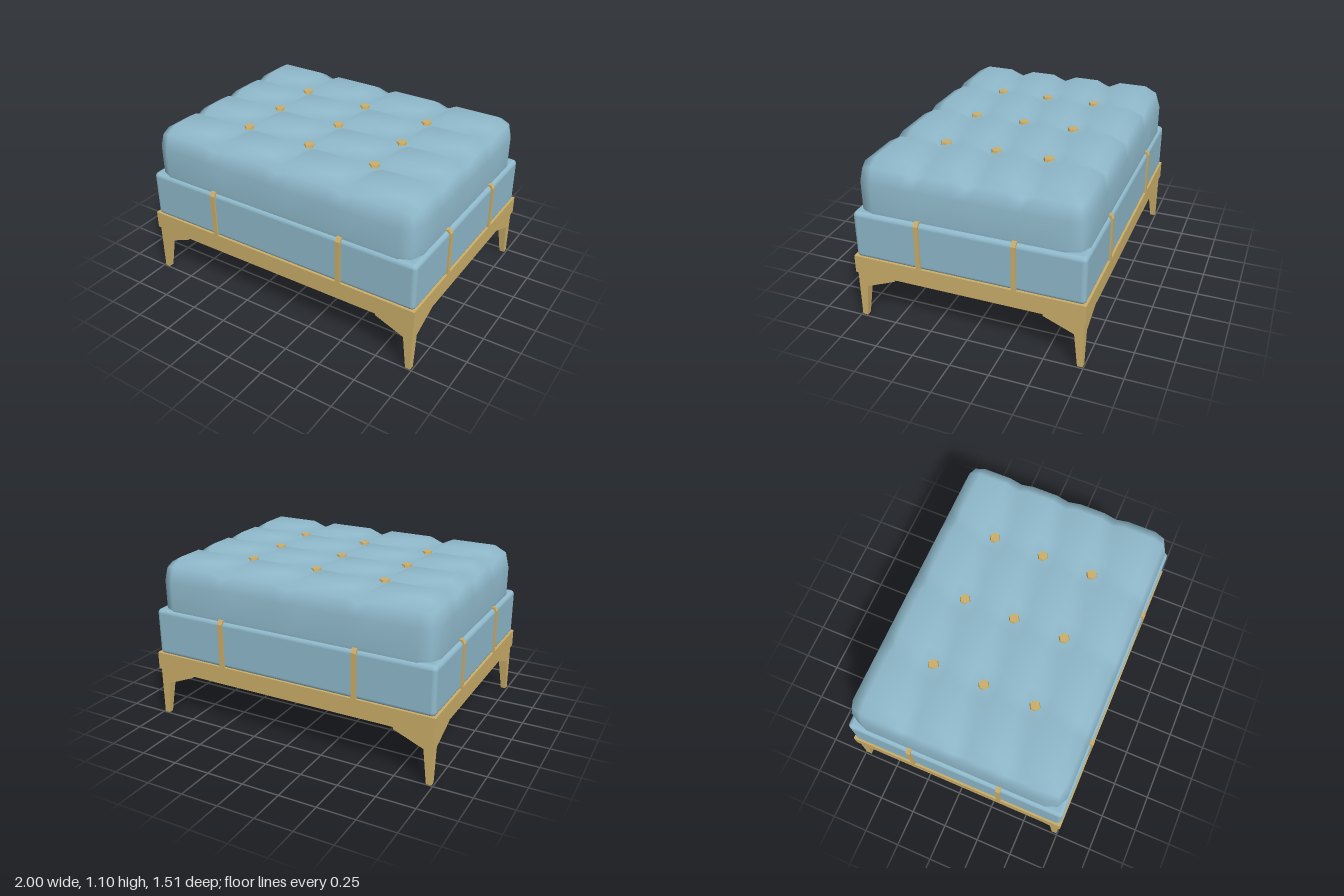
import * as THREE from 'three';
import { mergeVertices } from 'three/addons/utils/BufferGeometryUtils.js';
import { RoundedBoxGeometry } from 'three/addons/geometries/RoundedBoxGeometry.js';

const fabric = new THREE.MeshStandardMaterial({ color: 0x8fb9cb });
fabric.name = 'blue fabric';
const brass = new THREE.MeshStandardMaterial({ color: 0xcbae69 });
brass.name = 'brushed brass';

const TUFT_X = [-0.475, 0, 0.475];
const TUFT_Z = [-0.34, 0, 0.34];

function add(parent, name, geometry, material, x = 0, y = 0, z = 0) {
  const mesh = new THREE.Mesh(geometry, material);
  mesh.name = name;
  mesh.position.set(x, y, z);
  parent.add(mesh);
  return mesh;
}

function polygon(points) {
  return new THREE.Shape(points.map(([x, y]) => new THREE.Vector2(x, y)));
}

// Grid lines across the cushion: edges, start of the rounding, and each groove
function gridLines(half, core, tufts) {
  const grooves = tufts.flatMap((t) => [t - 0.085, t, t + 0.085]);
  return [-half, -core, ...grooves, core, half];
}

// Rounded block whose top is pressed in along the rows of buttons
function tuftedCushion() {
  const half = { x: 0.965, z: 0.728 }, core = { x: 0.86, z: 0.615 };
  const yCore = 0.955, top = 1.10, dip = 0.04;
  const xs = gridLines(half.x, core.x, TUFT_X);
  const zs = gridLines(half.z, core.z, TUFT_Z);
  const ys = [0.6, 0.78, yCore, top];
  let geo = new THREE.BoxGeometry(2, 2, 2, xs.length - 1, ys.length - 1, zs.length - 1);
  geo.deleteAttribute('normal');
  geo.deleteAttribute('uv');
  geo.clearGroups();
  geo = mergeVertices(geo);
  const pos = geo.attributes.position;
  const pick = (list, v) => list[Math.round(((v + 1) / 2) * (list.length - 1))];
  const d = new THREE.Vector3();
  for (let i = 0; i < pos.count; i++) {
    const x = pick(xs, pos.getX(i)), y = pick(ys, pos.getY(i)), z = pick(zs, pos.getZ(i));
    const cx = THREE.MathUtils.clamp(x, -core.x, core.x);
    const cy = Math.min(y, yCore);
    const cz = THREE.MathUtils.clamp(z, -core.z, core.z);
    const rx = half.x - core.x, ry = top - yCore, rz = half.z - core.z;
    d.set((x - cx) / rx, (y - cy) / ry, (z - cz) / rz).normalize();
    const groove = TUFT_X.includes(x) || TUFT_Z.includes(z) ? dip * d.y : 0;
    pos.setXYZ(i, cx + d.x * rx, cy + d.y * ry - groove, cz + d.z * rz);
  }
  geo.computeVertexNormals();
  return geo;
}

// Corner leg: outer corner at the origin, reaching towards -x and -z
function makeLeg() {
  const leg = new THREE.Group();
  leg.name = 'leg';
  const post = new THREE.BoxGeometry(1, 1, 1, 1, 2, 1);
  const pos = post.attributes.position;
  for (let i = 0; i < pos.count; i++) {
    const y = [0, 0.23, 0.33][Math.round((pos.getY(i) + 0.5) * 2)];
    const w = y === 0 ? 0.035 : 0.06;
    pos.setXYZ(i, (pos.getX(i) - 0.5) * w, y, (pos.getZ(i) - 0.5) * w);
  }
  const flatPost = post.toNonIndexed();
  flatPost.computeVertexNormals();
  add(leg, 'legPost', flatPost, brass);

  const depth = 0.05;
  const shape = polygon([[-0.255, 0.33], [-0.255, 0.31], [-0.06, 0.23], [-0.03, 0.23], [-0.03, 0.33]]);
  const arm = new THREE.ExtrudeGeometry(shape, { depth, bevelEnabled: false });
  arm.translate(0, 0, -depth);
  add(leg, 'legBracketX', arm, brass);
  const armZ = arm.clone().rotateY(-Math.PI / 2).translate(-depth, 0, 0);
  add(leg, 'legBracketZ', armZ, brass);
  return leg;
}

// Strap hooked over the cushion edge; local +x is outwards, 0 is the outer face
function strapGeometry(width) {
  const shape = polygon([[-0.03, 0.44], [0, 0.44], [0, 0.745], [-0.016, 0.77], [-0.04, 0.77], [-0.04, 0.755], [-0.03, 0.74]]);
  const geo = new THREE.ExtrudeGeometry(shape, { depth: width, bevelEnabled: false });
  return geo.translate(0, 0, -width / 2);
}

export function createModel() {
  const model = new THREE.Group();
  model.name = 'ottoman';

  // Base frame, open below, with a recessed panel
  const rim = polygon([[-1, -0.755], [1, -0.755], [1, 0.755], [-1, 0.755]]);
  rim.holes.push(polygon([[-0.97, -0.725], [-0.97, 0.725], [0.97, 0.725], [0.97, -0.725]]));
  const rimGeo = new THREE.ExtrudeGeometry(rim, { depth: 0.12, bevelEnabled: false });
  add(model, 'baseFrame', rimGeo.rotateX(-Math.PI / 2), brass, 0, 0.33, 0);
  add(model, 'basePanel', new THREE.BoxGeometry(1.95, 0.05, 1.46), brass, 0, 0.42, 0);

  // Legs, one turned into each corner
  [[1, 1], [1, -1], [-1, -1], [-1, 1]].forEach(([sx, sz], i) => {
    const leg = makeLeg();
    leg.position.set(sx * 0.99, 0, sz * 0.745);
    leg.rotation.y = (i * Math.PI) / 2;
    model.add(leg);
  });

  // Cushions
  add(model, 'lowerCushion', new RoundedBoxGeometry(1.98, 0.32, 1.49, 3, 0.03), fabric, 0, 0.6, 0);
  add(model, 'tuftedCushion', tuftedCushion(), fabric);

  // Buttons where the grooves cross
  const button = new THREE.CylinderGeometry(0.032, 0.04, 0.03, 6).toNonIndexed();
  button.computeVertexNormals();
  for (const x of TUFT_X) for (const z of TUFT_Z) add(model, 'button', button, brass, x, 1.063, z);

  // Straps on all four sides
  const longStrap = strapGeometry(0.034), sideStrap = strapGeometry(0.03);
  for (const s of [-1, 1]) {
    for (const t of [-1, 1]) {
      add(model, 'strap', longStrap, brass, t * 0.475, 0, s * 0.756).rotation.y = (-s * Math.PI) / 2;
      add(model, 'sideStrap', sideStrap, brass, s, 0, t * 0.31).rotation.y = s > 0 ? 0 : Math.PI;
    }
  }
  return model;
}
